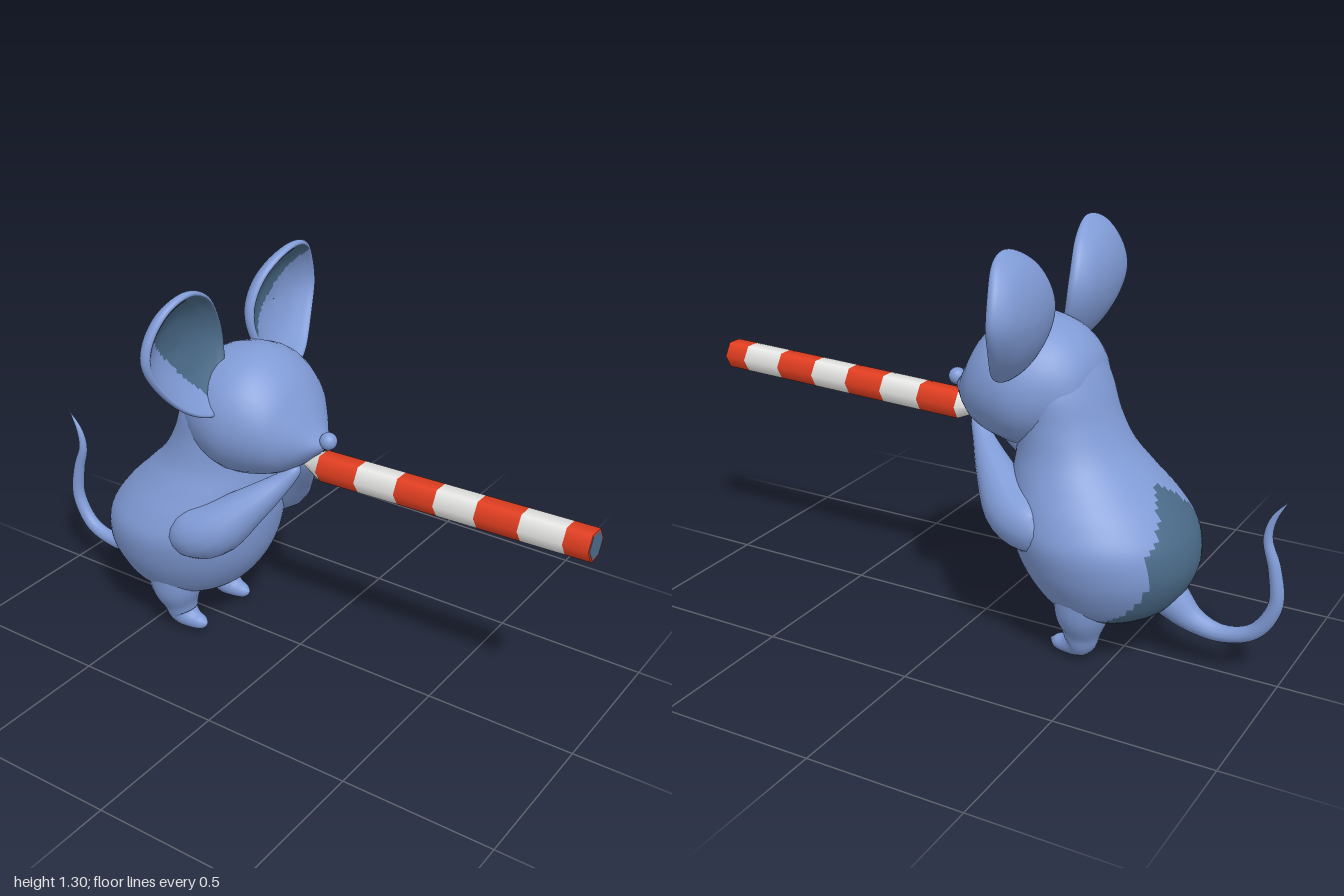
import * as THREE from 'three';

const mat = (name, color) => Object.assign(new THREE.MeshStandardMaterial({ color }), { name });
const V = (x, y, z) => new THREE.Vector3(x, y, z);

// Smoothly resample rows of numbers to n + 1 rows
function resample(rows, n) {
  const out = [];
  for (let i = 0; i <= n; i++) {
    const t = (i / n) * (rows.length - 1), k = Math.min(Math.floor(t), rows.length - 2), f = t - k;
    const at = (j) => rows[Math.max(0, Math.min(rows.length - 1, j))];
    out.push(rows[k].map((_, c) => {
      const [a, b, d, e] = [at(k - 1)[c], at(k)[c], at(k + 1)[c], at(k + 2)[c]];
      return b + 0.5 * f * (d - a + f * (2 * a - 5 * b + 4 * d - e + f * (3 * (b - d) + e - a)));
    }));
  }
  return out;
}

// Skin closed rings of points; quads passing isDark go to the second material
function loft(rings, isDark = () => false) {
  const m = rings[0].length, light = [], dark = [];
  for (let i = 0; i < rings.length - 1; i++) {
    for (let j = 0; j < m; j++) {
      const k = (j + 1) % m;
      const a = i * m + j, b = i * m + k, c = a + m, d = b + m;
      const mid = rings[i][j].clone().add(rings[i + 1][k]).multiplyScalar(0.5);
      (isDark(mid, i) ? dark : light).push(a, b, c, b, d, c);
    }
  }
  const g = new THREE.BufferGeometry().setFromPoints(rings.flat());
  g.setIndex([...light, ...dark]);
  g.addGroup(0, light.length, 0);
  if (dark.length) g.addGroup(light.length, dark.length, 1);
  g.computeVertexNormals();
  return g;
}

const ring = (m, f) => Array.from({ length: m }, (_, j) => {
  const a = (j / m) * Math.PI * 2;
  return f(Math.cos(a), Math.sin(a));
});

// Round limb along rows of [x, y, z, radius]
function limb(rows, n = 28, m = 16) {
  const pts = resample(rows, n);
  return loft(pts.map((p, i) => {
    const a = pts[Math.max(0, i - 1)], b = pts[Math.min(n, i + 1)];
    const T = V(b[0] - a[0], b[1] - a[1], b[2] - a[2]).normalize();
    const N = V(0, 0, 1).addScaledVector(T, -T.z).normalize();
    const B = T.clone().cross(N), r = Math.max(p[3], 0.0005);
    return ring(m, (c, s) => V(p[0], p[1], p[2]).addScaledVector(N, c * r).addScaledVector(B, s * r));
  }));
}

export function createModel() {
  const blue = mat('blue fur', 0x809bd6);
  const dark = mat('dark blue', 0x4a6a88);
  const red = mat('red stripe', 0xe23e20);
  const white = mat('white stripe', 0xeeeeec);
  const fur = [blue, dark];
  const model = new THREE.Group();
  const add = (name, geo, material, parent = model) => {
    const mesh = new THREE.Mesh(geo, material);
    mesh.name = name;
    parent.add(mesh);
    return mesh;
  };

  // Body: rows of [y, back x, front x, half width]
  const body = resample([
    [0.125, -0.45, -0.43, 0.005], [0.135, -0.55, -0.33, 0.12], [0.18, -0.64, -0.25, 0.2],
    [0.25, -0.695, -0.19, 0.25], [0.33, -0.72, -0.15, 0.285], [0.42, -0.705, -0.13, 0.3],
    [0.5, -0.65, -0.125, 0.275], [0.58, -0.57, -0.13, 0.235], [0.66, -0.495, -0.14, 0.2],
    [0.75, -0.445, -0.14, 0.185], [0.85, -0.41, -0.14, 0.18], [0.94, -0.37, -0.16, 0.14],
    [1.0, -0.315, -0.18, 0.08], [1.025, -0.25, -0.22, 0.005]], 72);
  const rump = (p) => p.x < -0.48 && Math.abs(p.z) < 0.19 * Math.min(1, (0.58 - p.y) / 0.16);
  add('body', loft(body.map(([y, b, f, w]) =>
    ring(80, (c, s) => V((b + f) / 2 + s * (f - b) / 2, y, w * c))), rump), fur);

  // Head: rows of [x, top y, bottom y, half width]
  const head = resample([
    [-0.395, 0.86, 0.84, 0.005], [-0.37, 0.95, 0.73, 0.12], [-0.3, 1.02, 0.665, 0.185],
    [-0.2, 1.05, 0.635, 0.223], [-0.11, 1.043, 0.642, 0.215], [-0.03, 0.985, 0.668, 0.178],
    [0.02, 0.91, 0.7, 0.125], [0.06, 0.84, 0.735, 0.07], [0.09, 0.8, 0.765, 0.028],
    [0.1, 0.785, 0.78, 0.003]], 40);
  add('head', loft(head.map(([x, t, b, w]) =>
    ring(36, (c, s) => V(x, (t + b) / 2 + c * (t - b) / 2, w * s)))), blue);
  add('nose', new THREE.SphereGeometry(0.028, 20, 14), blue).position.set(0.105, 0.8, 0);

  // Cupped ears: outline in [z, y], profile in [scale, depth] from bowl to back
  const outline = [[0.43, 1.12], [0.405, 1.21], [0.345, 1.28], [0.26, 1.3], [0.14, 1.24],
    [0.075, 1.13], [0.075, 1.04], [0.12, 0.94], [0.19, 0.89], [0.3, 0.925], [0.395, 1.03]];
  const profile = resample([[0.002, -0.045], [0.5, -0.035], [0.8, -0.015], [0.94, 0],
    [1, -0.015], [0.95, -0.035], [0.75, -0.06], [0.4, -0.075], [0.002, -0.08]], 64);
  // Dark bowl area lies above a line through two [z, y] points
  const shade = { 1: [0.41, 1.215, 0.19, 0.945], '-1': [-0.08, 1.02, -0.37, 1.255] };
  for (const s of [1, -1]) {
    const pts = outline.map(([z, y]) => V(0, y, z * s));
    if (s < 0) pts.reverse();
    const edge = new THREE.CatmullRomCurve3(pts, true).getSpacedPoints(80).slice(0, 80);
    const rings = profile.map(([r, d]) => edge.map((p) => {
      const y = 1.1 + (p.y - 1.1) * r, z = s * 0.25 + (p.z - s * 0.25) * r;
      return V(-0.235 + 1.3 * (y - 1.13) ** 2 + d, y, z);
    }));
    const [z0, y0, z1, y1] = shade[s];
    const inBowl = (p, i) => i < 24 && p.y > y0 + (p.z - z0) * (y1 - y0) / (z1 - z0);
    add(s > 0 ? 'earNear' : 'earFar', loft(rings, inBowl), fur);
  }

  // Arms and legs, mirrored across z
  for (const s of [1, -1]) {
    const side = s > 0 ? 'Near' : 'Far';
    const m = (rows) => rows.map(([x, y, z, r]) => [x, y, z * s, r]);
    add('arm' + side, limb(m([[-0.36, 0.47, 0.19, 0.03], [-0.3, 0.45, 0.2, 0.085],
      [-0.2, 0.48, 0.185, 0.09], [-0.1, 0.57, 0.125, 0.06], [-0.03, 0.64, 0.07, 0.035],
      [0.01, 0.69, 0.04, 0.02], [0.022, 0.703, 0.033, 0]])), blue);
    add('leg' + side, limb(m([[-0.42, 0.26, 0.135, 0.1], [-0.415, 0.17, 0.135, 0.088],
      [-0.41, 0.1, 0.125, 0.062], [-0.4, 0.056, 0.12, 0.052], [-0.36, 0.036, 0.12, 0.034],
      [-0.32, 0.034, 0.12, 0.022], [-0.3, 0.038, 0.12, 0]])), blue);
  }

  // Tail
  add('tail', limb([[-0.6, 0.26, 0, 0.07], [-0.66, 0.2, 0, 0.058], [-0.73, 0.152, 0, 0.038],
    [-0.82, 0.134, 0, 0.027], [-0.92, 0.17, 0, 0.025], [-0.975, 0.27, 0, 0.023],
    [-0.965, 0.38, 0, 0.02], [-0.938, 0.47, 0, 0.015], [-0.95, 0.54, 0, 0.01],
    [-0.993, 0.605, 0, 0]], 48, 12), blue);

  // Striped stick held to the mouth
  const stick = new THREE.Group();
  stick.name = 'stripedStick';
  stick.position.set(0, 0.708, 0);
  stick.rotation.z = 0.028;
  model.add(stick);
  const piece = (name, x0, x1, r0, r1, material, open = true) => {
    const g = new THREE.CylinderGeometry(r1, r0, x1 - x0, 6, 1, open);
    g.rotateZ(-Math.PI / 2).translate((x0 + x1) / 2, 0, 0);
    add(name, g, material, stick);
  };
  piece('stickTip', 0, 0.09, 0.006, 0.05, white);
  const stops = [0.09, 0.23, 0.37, 0.505, 0.64, 0.78, 0.92, 0.999];
  for (let i = 0; i < 7; i++) {
    piece('stripe', stops[i], stops[i + 1], 0.05, 0.05, i % 2 ? white : red, i < 6);
  }
  piece('stickEnd', 0.998, 1.0, 0.043, 0.043, dark, false);
  return model;
}
